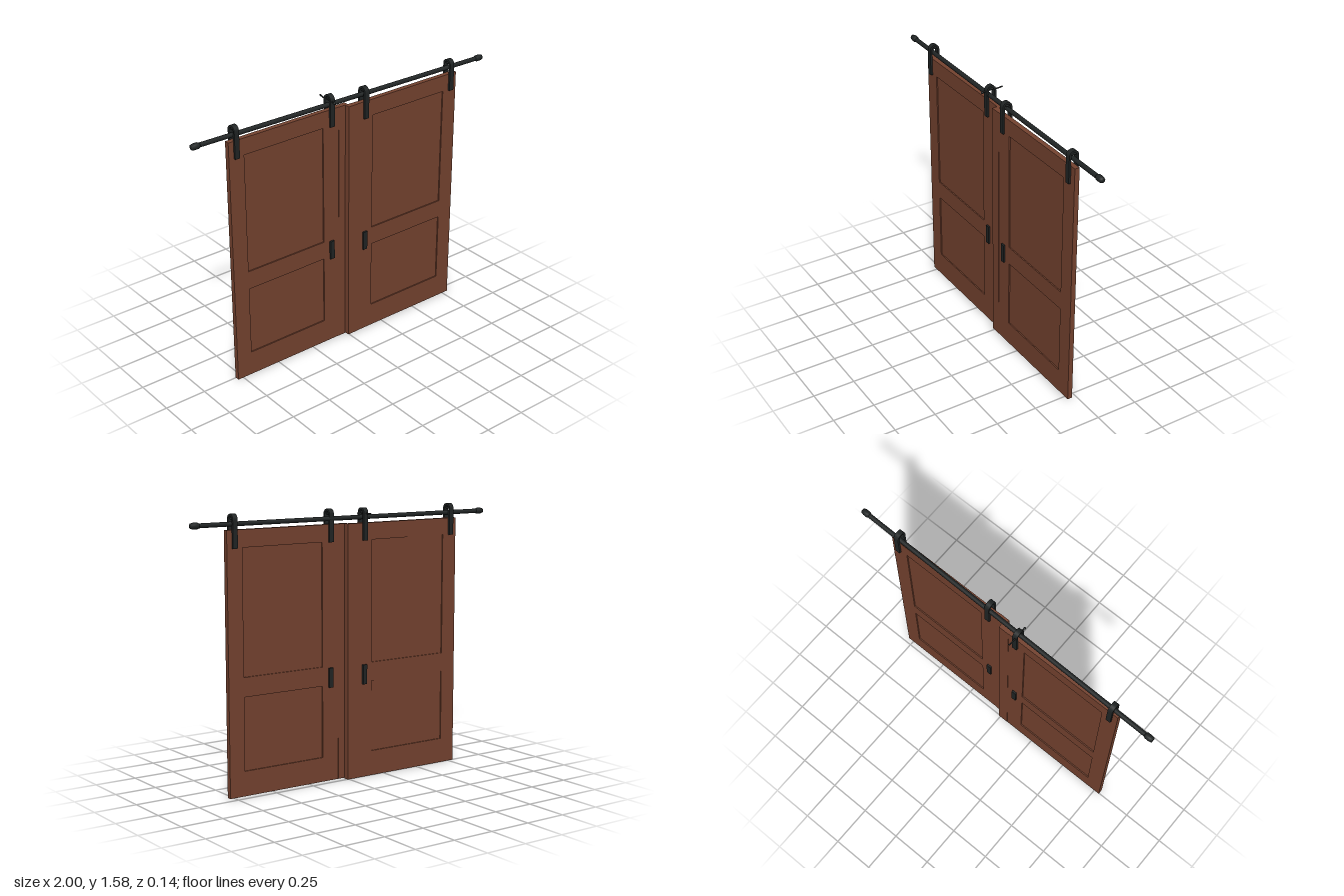
import * as THREE from 'three';

const wood = new THREE.MeshStandardMaterial({ color: 0x74422f });
wood.name = 'brown wood';
const iron = new THREE.MeshStandardMaterial({ color: 0x202424 });
iron.name = 'black iron';

function add(parent, name, geometry, material, x = 0, y = 0, z = 0) {
  const mesh = new THREE.Mesh(geometry, material);
  mesh.name = name;
  mesh.position.set(x, y, z);
  parent.add(mesh);
  return mesh;
}

function rectangle(path, x0, y0, x1, y1) {
  return path.moveTo(x0, y0).lineTo(x1, y0).lineTo(x1, y1).lineTo(x0, y1).closePath();
}

// Inverted U strap, drawn in (z, y) and extruded along x
function strapGeometry(width) {
  const outer = 0.03, inner = 0.018, low = 1.39, mid = 1.547;
  const s = new THREE.Shape();
  s.moveTo(-outer, low).lineTo(-outer, mid);
  s.absarc(0, mid, outer, Math.PI, 0, true);
  s.lineTo(outer, low).lineTo(inner, low).lineTo(inner, mid);
  s.absarc(0, mid, inner, 0, Math.PI, false);
  s.lineTo(-inner, low).closePath();
  const g = new THREE.ExtrudeGeometry(s, { depth: width, bevelEnabled: false, curveSegments: 12 });
  return g.translate(0, 0, -width / 2).rotateY(Math.PI / 2);
}

// One sliding door; side is +1 or -1 along x
function buildDoor(side, z) {
  const door = new THREE.Group();
  door.name = side > 0 ? 'leftDoor' : 'rightDoor';
  const thick = 0.029, bottom = side > 0 ? 0.005 : 0, top = 1.49;
  const span = (a, b) => side > 0 ? [a, b] : [-b, -a];

  // Frame with two openings, and sunken panels filling them
  const [x0, x1] = span(-0.008, 0.785);
  const frame = rectangle(new THREE.Shape(), x0, bottom, x1, top);
  const [p0, p1] = span(0.163, 0.688);
  for (const [y0, y1] of [[0.148, 0.567], [0.678, 1.392]]) {
    frame.holes.push(rectangle(new THREE.Path(), p0, y0, p1, y1));
    add(door, 'panel', new THREE.BoxGeometry(p1 - p0, y1 - y0, thick - 0.014), wood,
      (p0 + p1) / 2, (y0 + y1) / 2, z);
  }
  add(door, 'frame', new THREE.ExtrudeGeometry(frame, { depth: thick, bevelEnabled: false }),
    wood, 0, 0, z - thick / 2);

  // Raised strip where the doors meet
  add(door, 'edgeStrip', new THREE.BoxGeometry(0.065, top - bottom, thick + 0.003), wood,
    side * 0.023, (top + bottom) / 2, z);

  // Pulls on both faces
  for (const face of [-1, 1]) {
    add(door, 'pull', new THREE.BoxGeometry(0.028, 0.115, 0.012), iron,
      side * 0.108, 0.612, z + face * (thick / 2 + 0.005));
  }

  // Hanging straps with a small wheel on top of the rail
  for (const x of [0.108, 0.74]) {
    add(door, 'hangingStrap', strapGeometry(0.03), iron, side * x, 0, z);
    add(door, 'wheelAxle', new THREE.CylinderGeometry(0.006, 0.006, 0.05, 10).rotateX(Math.PI / 2),
      iron, side * x, 1.55, z);
  }
  return door;
}

export function createModel() {
  const model = new THREE.Group();
  model.name = 'slidingDoors';
  model.add(buildDoor(-1, 0.011), buildDoor(1, 0.043));

  // Rail, turned slightly to run over both doors
  const rail = new THREE.Group();
  rail.name = 'rail';
  rail.position.set(0, 1.522, 0.023);
  rail.rotation.y = -0.016;
  add(rail, 'rod', new THREE.CylinderGeometry(0.013, 0.013, 1.96, 16).rotateZ(Math.PI / 2), iron);
  for (const side of [-1, 1]) {
    const profile = [[0, -0.025], [0.013, -0.025], [0.018, -0.015], [0.018, 0.01], [0.014, 0.025], [0, 0.025]]
      .map(([r, y]) => new THREE.Vector2(r, y));
    add(rail, 'endCap', new THREE.LatheGeometry(profile, 16).rotateZ(-side * Math.PI / 2),
      iron, side * 0.975);
  }
  model.add(rail);

  // Locking pin through one strap
  const pin = new THREE.CatmullRomCurve3([
    new THREE.Vector3(-0.112, 1.54, 0.06), new THREE.Vector3(-0.112, 1.545, 0),
    new THREE.Vector3(-0.112, 1.543, -0.045), new THREE.Vector3(-0.11, 1.548, -0.07)]);
  add(model, 'lockingPin', new THREE.TubeGeometry(pin, 16, 0.004, 8), iron);
  add(model, 'pinKnob', new THREE.SphereGeometry(0.007, 10, 8), iron, -0.112, 1.54, 0.06);
  return model;
}
